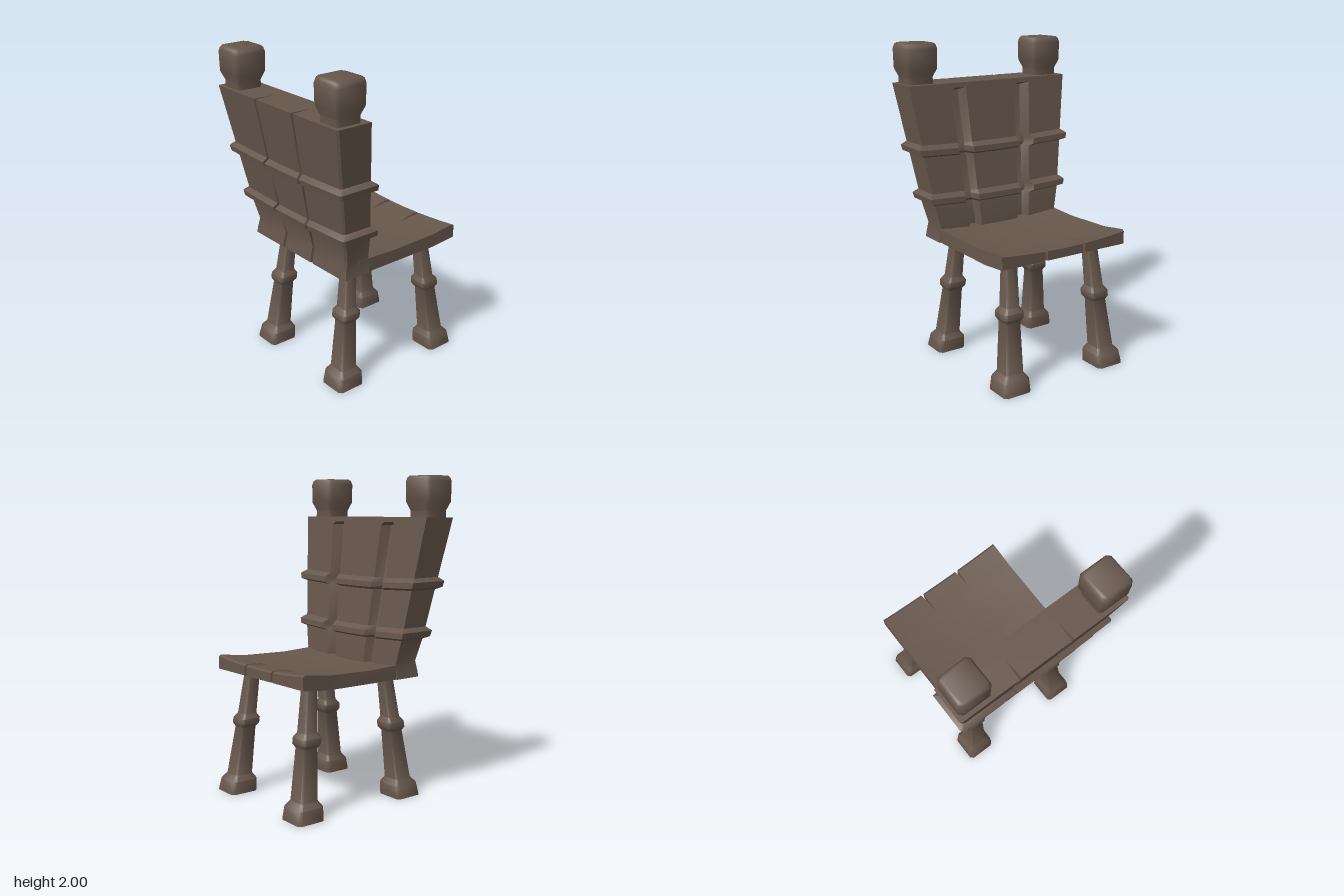
import * as THREE from 'three';
import { toCreasedNormals } from 'three/addons/utils/BufferGeometryUtils.js';

// Closed skin over a list of rings; flat(p) projects a ring to 2D for the caps
function loft(rings, flat, crease) {
  const n = rings[0].length;
  const pts = rings.flat();
  const idx = [];
  for (let r = 0; r < rings.length - 1; r++) {
    for (let i = 0; i < n; i++) {
      const a = r * n + i, b = r * n + (i + 1) % n;
      idx.push(a, b, a + n, b, b + n, a + n);
    }
  }
  const cap = (ring, base, reverse) => {
    const c = ring.map(flat);
    const sign = Math.sign(THREE.ShapeUtils.area(c));
    for (const t of THREE.ShapeUtils.triangulateShape(c.slice(), [])) {
      const same = Math.sign(THREE.ShapeUtils.area(t.map(k => c[k]))) === sign;
      const [i, j, k] = t.map(v => v + base);
      if (same !== reverse) idx.push(i, j, k); else idx.push(i, k, j);
    }
  };
  cap(rings[0], 0, true);
  cap(rings[rings.length - 1], (rings.length - 1) * n, false);

  // Make all faces point outwards
  let volume = 0;
  const cross = new THREE.Vector3();
  for (let i = 0; i < idx.length; i += 3) {
    volume += pts[idx[i]].dot(cross.crossVectors(pts[idx[i + 1]], pts[idx[i + 2]]));
  }
  if (volume < 0) idx.reverse();
  const g = new THREE.BufferGeometry().setFromPoints(pts);
  g.setIndex(idx);
  return toCreasedNormals(g, crease);
}

const flatXZ = p => new THREE.Vector2(p.x, p.z);
const flatZY = p => new THREE.Vector2(p.z, p.y);

// Square ring with clipped corners
function squareRing(x, y, z, h) {
  const c = h * 0.8;
  return [[c, h], [h, c], [h, -c], [c, -h], [-c, -h], [-h, -c], [-h, c], [-c, h]]
    .map(([a, b]) => new THREE.Vector3(x + a, y, z + b));
}

// Backrest cross-section: grooves between planks on the seat side, thin slits behind
function backRing([y, w, front, back, groove = 1, sag = 0]) {
  const k = w / 0.55, d = back - front;
  const floor = front + 0.28 * d * groove;
  const tip = back - 0.62 * d;
  const s = 0.31 * w;
  const half = [
    [0, front], [0.175 * k, front], [0.2 * k, floor], [0.255 * k, floor], [0.285 * k, front],
    [w, front], [w, back - 0.012], [w - 0.012, back],
    [s + 0.01, back], [s, tip], [s - 0.01, back], [0, back],
  ];
  const other = half.slice(1, -1).reverse().map(([x, z]) => [-x, z]);
  return [...half, ...other].map(([x, z]) =>
    new THREE.Vector3(x, y - sag * (1 - (x / w) ** 2), z));
}

export function createModel() {
  const group = new THREE.Group();
  const wood = new THREE.MeshStandardMaterial({ color: 0x67574c });
  wood.name = 'darkWood';
  const add = (name, geometry) => {
    const m = new THREE.Mesh(geometry, wood);
    m.name = name;
    group.add(m);
  };

  // Backrest: leaning planks with two raised bands
  const body = (y, grow = 0, sag = 0, groove = 1) => {
    const t = (y - 1.02) / 0.73;
    return [y, 0.475 + 0.105 * t + grow, 0.215 + 0.09 * t - grow,
      0.405 + 0.135 * t + grow, groove, sag];
  };
  const band = y => [
    body(y - 0.03, 0, 0.015), body(y - 0.015, 0.03, 0.015),
    body(y + 0.02, 0.032, 0.015), body(y + 0.045, 0, 0.015),
  ];
  const rows = [
    [0.77, 0.455, 0.2, 0.39], [0.8, 0.45, 0.2, 0.388], [0.87, 0.443, 0.2, 0.372],
    ...band(1.04), ...band(1.345),
    body(1.7), body(1.72, 0, 0, 0), body(1.75, 0, 0, 0),
  ];
  add('backrest', loft(rows.map(backRing), flatXZ, 0.6));

  // Seat: dished slab with an upturned front lip and two slits
  const profile = [
    [0.28, 0.77], [0, 0.77], [-0.33, 0.772], [-0.51, 0.79],
    [-0.51, 0.87], [-0.495, 0.88], [-0.33, 0.858], [0, 0.85], [0.28, 0.862],
  ];
  const side = [0.13, 0.14, 0.15, 0.25, 0.35, 0.42, 0.45];
  const stations = [...side.map(x => -x).reverse(), 0, ...side];
  const seatRings = stations.map(x => profile.map(([z, y], i) => {
    const slit = Math.abs(x) === 0.14;
    const dish = i > 3 ? 0.025 * (1 - (x / 0.45) ** 2) : 0;
    const waist = 1 - 0.012 * Math.cos(z * 3);
    return new THREE.Vector3(x * waist, y - dish, slit ? Math.max(z, -0.4) : z);
  }));
  add('seat', loft(seatRings, flatZY, 0.6));

  // Splayed legs: block foot, tapered shaft and a collar
  const legRows = [
    [0, 0.095], [0.02, 0.094], [0.08, 0.088], [0.115, 0.062], [0.42, 0.05], [0.445, 0.066],
    [0.48, 0.066], [0.51, 0.046], [0.8, 0.037],
  ];
  // Corner posts: neck and block finial
  const postRows = [
    [1.7, 0.085], [1.79, 0.083], [1.845, 0.106], [1.965, 0.108], [1.99, 0.1], [2, 0.09],
  ];
  for (const [label, s] of [['left', 1], ['right', -1]]) {
    for (const [end, z0, z1] of [['Back', 0.325, 0.232], ['Front', -0.445, -0.352]]) {
      const rings = legRows.map(([y, h]) => {
        const t = y / 0.8;
        return squareRing(s * (0.355 - 0.055 * t), y, z0 + (z1 - z0) * t, h);
      });
      add(`${label}${end}Leg`, loft(rings, flatXZ, 0.9));
    }
    const rings = postRows.map(([y, h]) => squareRing(s * 0.467, y, 0.429, h));
    add(`${label}Post`, loft(rings, flatXZ, 0.9));
  }
  return group;
}
